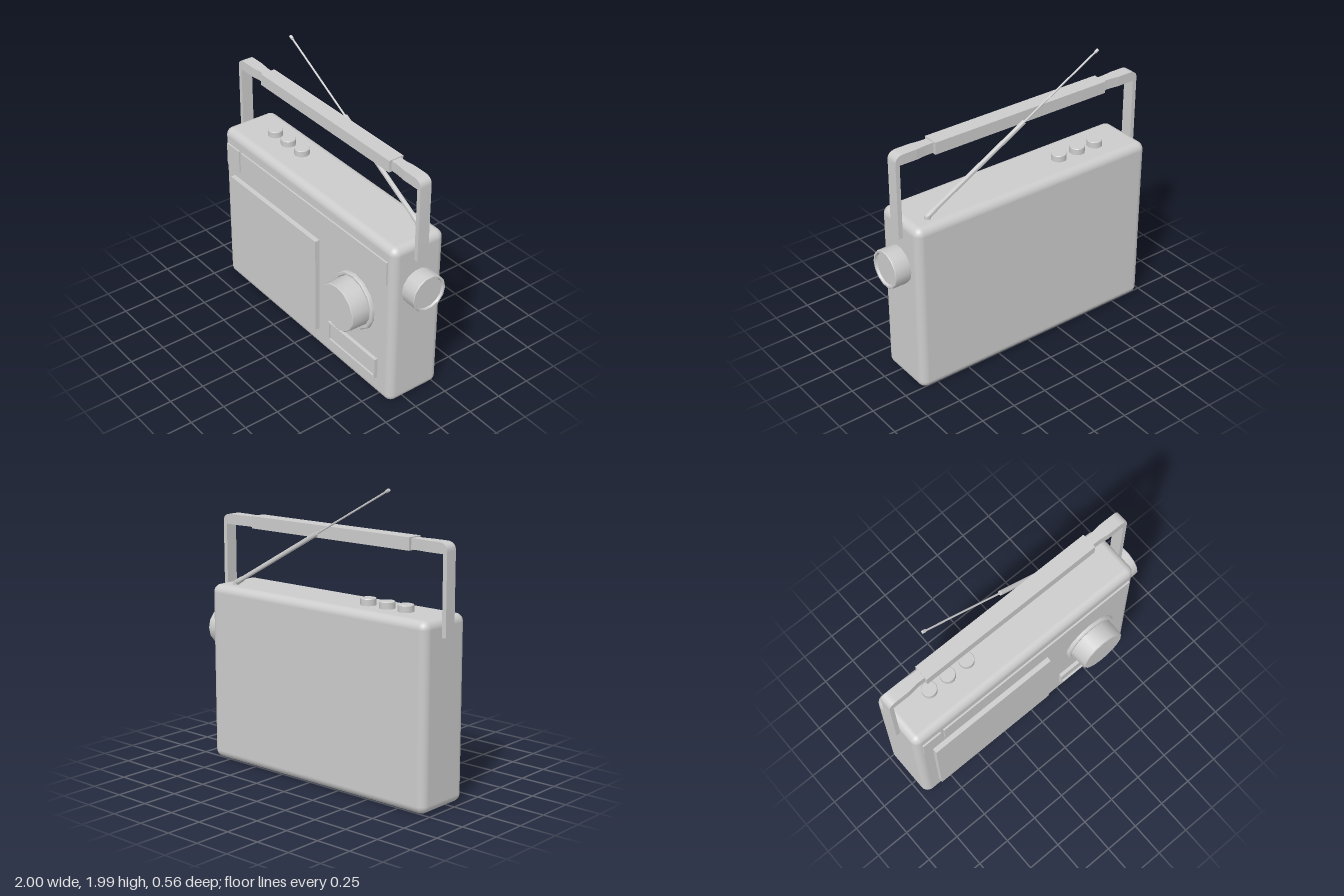
import * as THREE from 'three';
import { toCreasedNormals } from 'three/addons/utils/BufferGeometryUtils.js';
import { RoundedBoxGeometry } from 'three/addons/geometries/RoundedBoxGeometry.js';

const MID = -0.0425; // centre line of the case
const FRONT = 0.13; // front face of the case

export function createModel() {
  const model = new THREE.Group();
  const material = new THREE.MeshStandardMaterial({ color: 0xcccccc });

  const add = (name, geometry, x = 0, y = 0, z = 0, parent = model) => {
    const mesh = new THREE.Mesh(geometry, material);
    mesh.name = name;
    mesh.position.set(x, y, z);
    parent.add(mesh);
    return mesh;
  };
  const box = (name, x0, x1, y0, y1, z0, z1, parent) =>
    add(name, new THREE.BoxGeometry(x1 - x0, y1 - y0, z1 - z0),
      (x0 + x1) / 2, (y0 + y1) / 2, (z0 + z1) / 2, parent);
  const turned = (profile, sides) => toCreasedNormals(
    new THREE.LatheGeometry(profile.map(([r, h]) => new THREE.Vector2(r, h)), sides), 0.6);

  // Case
  add('case', new RoundedBoxGeometry(1.855, 1.225, 0.41, 5, 0.055), MID, 0.6125, -0.075);

  // Front panels
  box('speakerPanel', -0.85, 0.13, 0.155, 0.89, 0.1, 0.165);
  box('indicatorPanel', -0.92, -0.775, 0.95, 1.12, 0.1, 0.142);
  box('tuningScale', -0.75, 0.83, 0.95, 1.12, 0.1, 0.142);

  // Name plate: raised frame around a sunken face
  const frame = new THREE.Shape([[0.255, 0.15], [0.755, 0.15], [0.755, 0.305], [0.255, 0.305]]
    .map(p => new THREE.Vector2(...p)));
  frame.holes.push(new THREE.Path([[0.268, 0.165], [0.268, 0.293], [0.742, 0.293], [0.742, 0.165]]
    .map(p => new THREE.Vector2(...p))));
  add('plateFrame', new THREE.ExtrudeGeometry(frame, { depth: 0.05, bevelEnabled: false }), 0, 0, 0.105);
  box('plateFace', 0.262, 0.748, 0.158, 0.299, 0.1, 0.142);

  // Large front dial with its surrounding ring
  const dial = new THREE.Group();
  dial.name = 'tuningDial';
  dial.position.set(0.51, 0.64, FRONT);
  dial.rotation.x = Math.PI / 2;
  model.add(dial);
  add('dialRing', turned([[0.205, -0.02], [0.205, 0.018], [0.197, 0.025], [0.182, 0.025],
    [0.175, 0.015], [0.1, 0.015]], 14), 0, 0, 0, dial);
  add('dialKnob', turned([[0.175, 0], [0.17, 0.145], [0.164, 0.15], [0, 0.15]], 14), 0, 0, 0, dial);

  // Side dial with a sunken end face
  const side = add('sideDial', turned([[0.125, -0.02], [0.13, 0.01], [0.13, 0.11], [0.126, 0.115],
    [0.114, 0.115], [0.108, 0.1], [0, 0.1]], 14), 0.885, 0.89, -0.07);
  side.rotation.z = -Math.PI / 2;

  // Top buttons
  for (const x of [-0.67, -0.52, -0.365]) {
    add('button', turned([[0.052, 0], [0.052, 0.066], [0.049, 0.07], [0, 0.07]], 20), x, 1.2, -0.095);
  }

  // Handle: two bent arms, tapered necks and a grip
  const handle = new THREE.Group();
  handle.name = 'handle';
  handle.position.set(MID, 0, -0.075);
  model.add(handle);
  const arm = new THREE.Shape();
  arm.moveTo(0.927, 1.105);
  arm.lineTo(0.957, 1.105);
  arm.lineTo(0.957, 1.635);
  arm.quadraticCurveTo(0.957, 1.69, 0.89, 1.69);
  arm.lineTo(0.8, 1.69);
  arm.lineTo(0.8, 1.62);
  arm.lineTo(0.927, 1.62);
  for (const s of [1, -1]) {
    const half = new THREE.Group();
    half.name = s > 0 ? 'leftArm' : 'rightArm';
    half.rotation.y = s > 0 ? 0 : Math.PI;
    handle.add(half);
    add('bentArm', toCreasedNormals(new THREE.ExtrudeGeometry(arm,
      { depth: 0.086, bevelEnabled: false, curveSegments: 8 }), 0.6), 0, 0, -0.043, half);
    const neck = new THREE.BoxGeometry(0.14, 0.07, 0.086, 2, 1, 1);
    const p = neck.attributes.position;
    for (let i = 0; i < p.count; i++) if (p.getX(i) < 0.05) p.setZ(i, p.getZ(i) * 0.8);
    neck.computeVertexNormals();
    add('neck', toCreasedNormals(neck, 0.2), 0.73, 1.655, 0, half);
  }
  box('grip', -0.675, 0.675, 1.614, 1.697, -0.055, 0.055, handle);

  // Telescopic antenna leaning across the back
  const start = new THREE.Vector3(0.74, 1.238, -0.18);
  const end = new THREE.Vector3(-0.6, 1.982, -0.18);
  const length = start.distanceTo(end);
  const antenna = new THREE.Group();
  antenna.name = 'antenna';
  antenna.position.copy(start);
  antenna.quaternion.setFromUnitVectors(new THREE.Vector3(0, 1, 0), end.clone().sub(start).normalize());
  model.add(antenna);
  add('lowerTube', turned([[0, -0.012], [0.014, -0.01], [0.019, 0], [0.019, 0.06], [0.016, 0.07],
    [0.016, 0.855], [0, 0.855]], 12), 0, 0, 0, antenna);
  add('upperRod', turned([[0.0065, 0.85], [0.0065, length - 0.02]], 8), 0, 0, 0, antenna);
  add('tip', turned([[0, length - 0.03], [0.011, length - 0.028], [0.011, length - 0.003],
    [0, length]], 10), 0, 0, 0, antenna);
  add('antennaPivot', new THREE.CylinderGeometry(0.02, 0.024, 0.05, 12), 0.74, 1.22, -0.18);

  return model;
}
